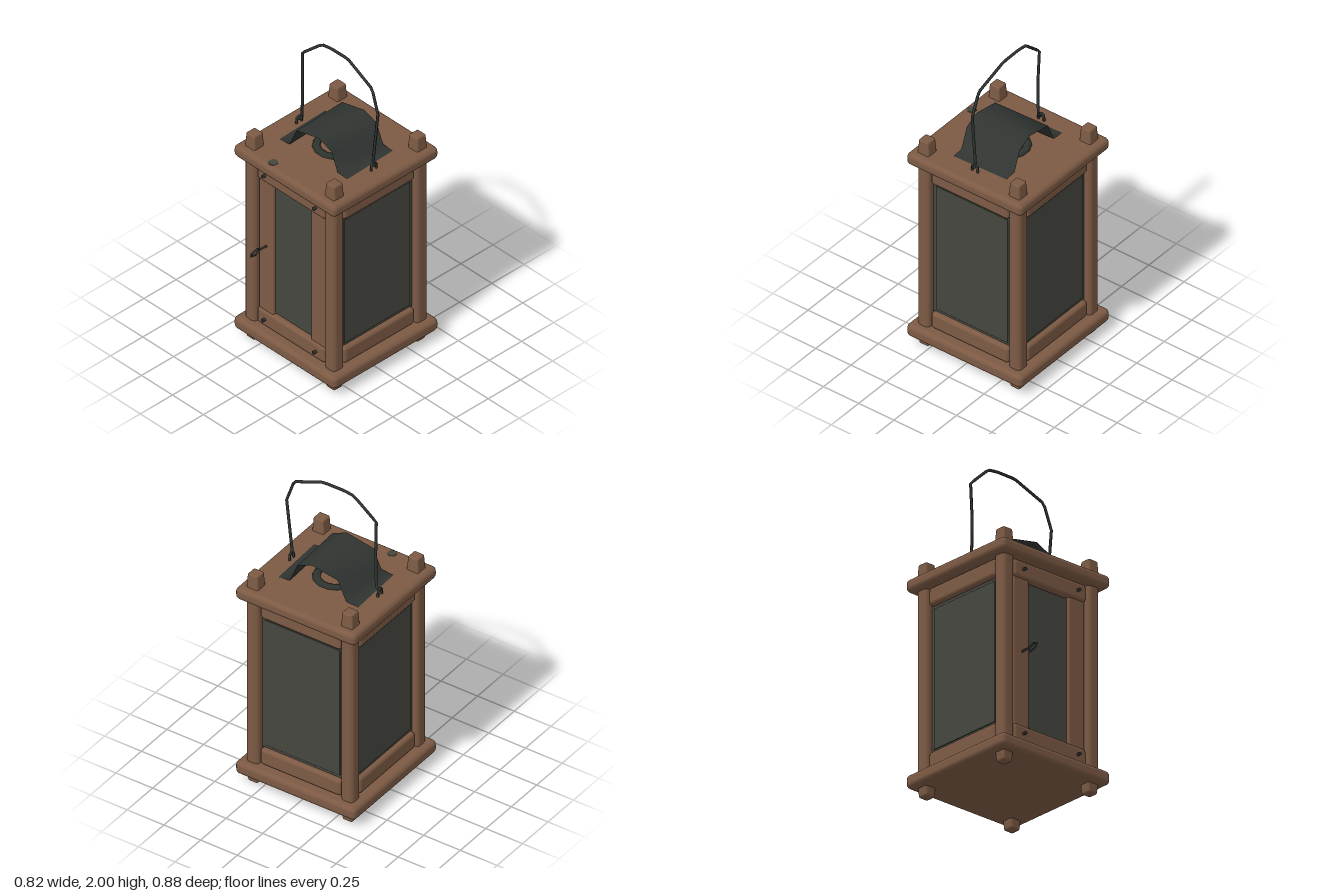
import * as THREE from 'three';
import { RoundedBoxGeometry } from 'three/addons/geometries/RoundedBoxGeometry.js';

export function createModel() {
  const wood = new THREE.MeshStandardMaterial({ color: 0x7c5a44 });
  wood.name = 'brown wood';
  const iron = new THREE.MeshStandardMaterial({ color: 0x303532, side: THREE.DoubleSide });
  iron.name = 'dark iron';
  const glass = new THREE.MeshStandardMaterial({ color: 0x45463f });
  glass.name = 'smoky glass';

  const model = new THREE.Group();
  model.name = 'lantern';
  const body = new THREE.Group();
  body.name = 'body';
  body.position.z = -0.03;
  model.add(body);

  function add(parent, name, geometry, material, x = 0, y = 0, z = 0) {
    const mesh = new THREE.Mesh(geometry, material);
    mesh.name = name;
    mesh.position.set(x, y, z);
    parent.add(mesh);
    return mesh;
  }
  const block = (w, h, d, r) => new RoundedBoxGeometry(w, h, d, 2, r);

  // Narrow a block towards its top (dir = 1) or bottom (dir = -1)
  function taper(geometry, amount, dir) {
    const p = geometry.attributes.position;
    for (let i = 0; i < p.count; i++) {
      if (p.getY(i) * dir > 0) p.setXYZ(i, p.getX(i) * amount, p.getY(i), p.getZ(i) * amount);
    }
    geometry.computeVertexNormals();
    return geometry;
  }

  // Wire that runs straight between its points
  function wire(points, radius, closed = false) {
    const curve = new THREE.CatmullRomCurve3(
      points.map((p) => new THREE.Vector3(...p)), closed, 'catmullrom', 0);
    return new THREE.TubeGeometry(curve, 48, radius, 5, closed);
  }

  // Base and roof slabs
  add(body, 'baseSlab', block(0.82, 0.085, 0.82, 0.03), wood, 0, 0.1, 0);
  add(body, 'roofSlab', block(0.82, 0.08, 0.82, 0.03), wood, 0, 1.31, 0);

  // Corner posts with their tapered ends
  for (const x of [-0.322, 0.322]) {
    for (const z of [-0.323, 0.323]) {
      add(body, 'post', block(0.085, 1.17, 0.085, 0.026), wood, x, 0.71, z);
      add(body, 'postTop', taper(block(0.085, 0.14, 0.085, 0.012), 0.82, 1), wood, x, 1.37, z);
      add(body, 'foot', taper(block(0.08, 0.1, 0.08, 0.014), 0.85, -1), wood, x, 0.05, z);
    }
  }

  // Four sides: rails and pane, with a door on the front
  for (let i = 0; i < 4; i++) {
    const side = new THREE.Group();
    side.name = i === 0 ? 'frontSide' : 'glazedSide';
    side.rotation.y = i * Math.PI / 2;
    body.add(side);
    add(side, 'topRail', block(0.55, 0.11, 0.07, 0.022), wood, 0, 1.215, 0.32);
    add(side, 'bottomRail', block(0.55, 0.11, 0.07, 0.022), wood, 0, 0.2, 0.32);
    if (i === 0) {
      for (const s of [-1, 1]) {
        add(side, 'doorStile', block(0.122, 0.93, 0.05, 0.014), wood, s * 0.21, 0.707, 0.318);
        for (const y of [0.2, 1.215]) {
          const nail = add(side, 'nail', new THREE.CylinderGeometry(0.01, 0.01, 0.03, 6), iron, s * 0.205, y, 0.362);
          nail.rotation.x = Math.PI / 2;
        }
      }
      add(side, 'doorPane', block(0.31, 0.9, 0.02, 0.006), glass, 0, 0.707, 0.315);
    } else {
      add(side, 'pane', block(0.56, 0.92, 0.02, 0.006), glass, 0, 0.707, 0.315);
      add(side, 'paneFace', block(0.51, 0.87, 0.008, 0.003), glass, 0, 0.707, 0.327);
    }
  }

  // Door latch: a stem and a bent wire loop
  const latch = new THREE.Group();
  latch.name = 'latch';
  latch.position.set(-0.205, 0.71, 0);
  latch.rotation.z = -0.4;
  model.add(latch);
  add(latch, 'latchStem', wire([[0, 0, 0.3], [0, 0.01, 0.37]], 0.007), iron);
  add(latch, 'latchLoop', wire([[0, 0.005, 0.366], [0, 0.035, 0.395], [0, 0.015, 0.433],
    [0, -0.02, 0.425], [0, -0.033, 0.39]], 0.006, true), iron);

  // Bent sheet cowl over the vent
  const profile = [[-0.265, 1.355], [-0.185, 1.362], [-0.13, 1.488], [0.045, 1.525],
    [0.14, 1.485], [0.19, 1.362], [0.265, 1.355]];
  const verts = [], faces = [];
  profile.forEach(([x, y], i) => {
    verts.push(x, y, -0.183, x, y, 0.183);
    if (i > 0) {
      const a = 2 * i - 2;
      faces.push(a, a + 1, a + 2, a + 1, a + 3, a + 2);
    }
  });
  const sheet = new THREE.BufferGeometry();
  sheet.setAttribute('position', new THREE.Float32BufferAttribute(verts, 3));
  sheet.setIndex(faces);
  sheet.computeVertexNormals();
  add(model, 'ventCowl', sheet, iron, 0, 0, -0.03).rotation.y = 0.035;

  // Vent ring under the cowl
  const ring = add(model, 'ventRing', new THREE.TorusGeometry(0.11, 0.025, 5, 14), iron, 0, 1.355, -0.03);
  ring.rotation.x = Math.PI / 2;
  ring.scale.z = 0.6;

  // Small patch on the roof
  add(model, 'roofPatch', new THREE.CylinderGeometry(0.028, 0.028, 0.005, 10), glass, -0.133, 1.35, 0.33);

  // Carrying handle and its staples
  add(model, 'handle', wire([[-0.3, 1.375, -0.03], [-0.275, 1.4, -0.03], [-0.27, 1.62, -0.03],
    [-0.278, 1.85, -0.035], [-0.135, 1.98, -0.048], [-0.07, 1.991, -0.05], [0.07, 1.991, -0.052],
    [0.28, 1.9, -0.04], [0.333, 1.75, -0.035], [0.298, 1.4, -0.03], [0.31, 1.375, -0.03]], 0.009), iron);
  for (const x of [-0.3, 0.302]) {
    add(model, 'staple', wire([[x, 1.34, -0.052], [x, 1.385, -0.05], [x, 1.395, -0.032],
      [x, 1.385, -0.014], [x, 1.34, -0.012]], 0.008), iron);
  }

  return model;
}
